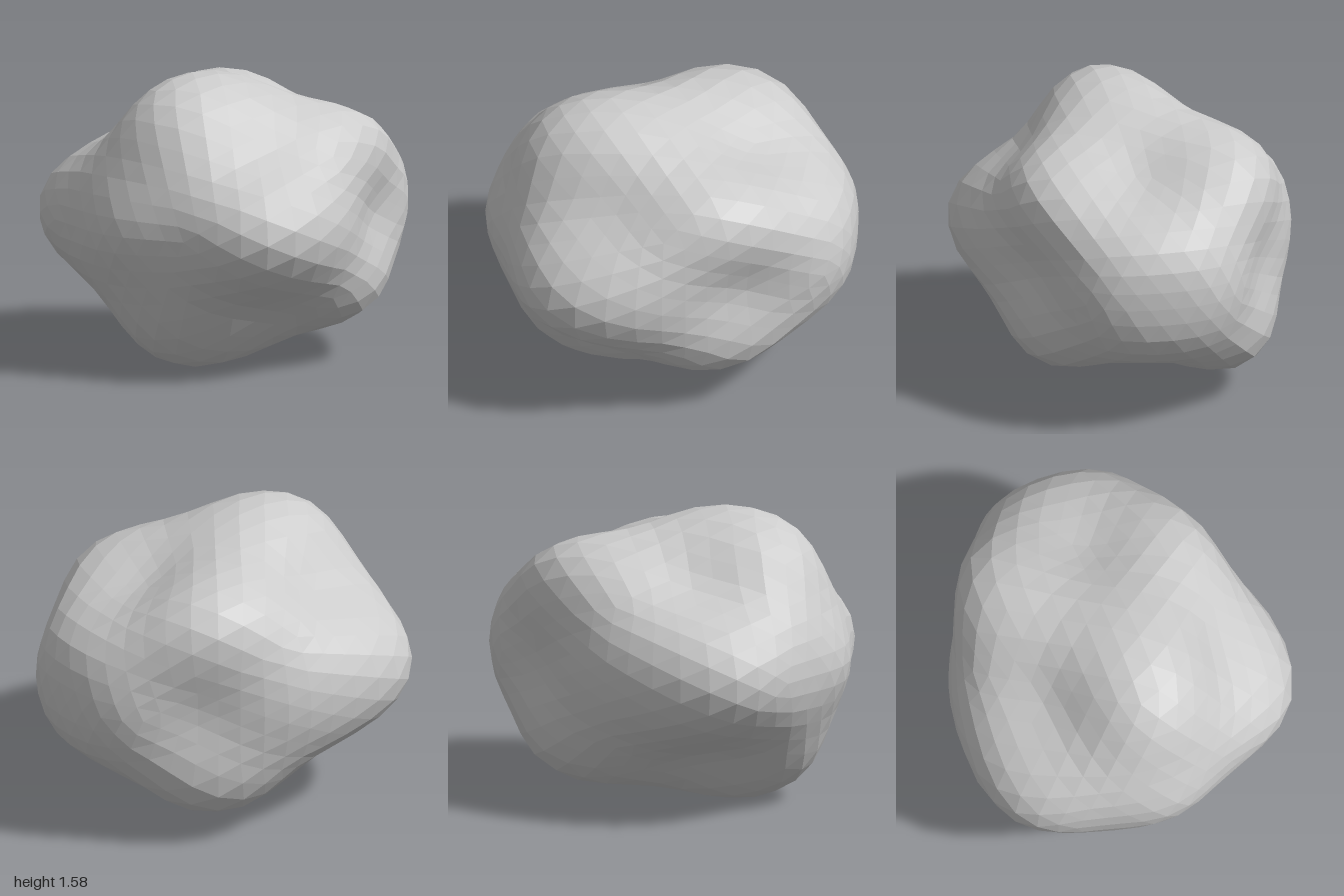
import * as THREE from 'three';

// Rolling bumps and hollows: radius of the rock in direction u
function radius(u) {
  return 1 + 0.175 * Math.sin(3.18 * u.x) * Math.cos(3.55 * u.y) * Math.cos(3.9 * u.z - 0.4);
}

export function createModel() {
  const group = new THREE.Group();
  group.name = 'asteroid';

  // Faceted sphere pushed in and out along its radii
  const geometry = new THREE.IcosahedronGeometry(1, 7);
  const position = geometry.attributes.position;
  const u = new THREE.Vector3();
  for (let i = 0; i < position.count; i++) {
    u.fromBufferAttribute(position, i).normalize();
    u.multiplyScalar(radius(u));
    // Flattened a little in height and depth
    position.setXYZ(i, u.x, u.y * 0.736, u.z * 0.862);
  }

  // Centre it and rest it on the ground
  geometry.center();
  geometry.translate(0, -geometry.boundingBox.min.y, 0);
  geometry.computeVertexNormals();

  const rock = new THREE.Mesh(
    geometry,
    new THREE.MeshStandardMaterial({ color: 0xcccccc, flatShading: true })
  );
  rock.name = 'rock';
  group.add(rock);
  return group;
}
